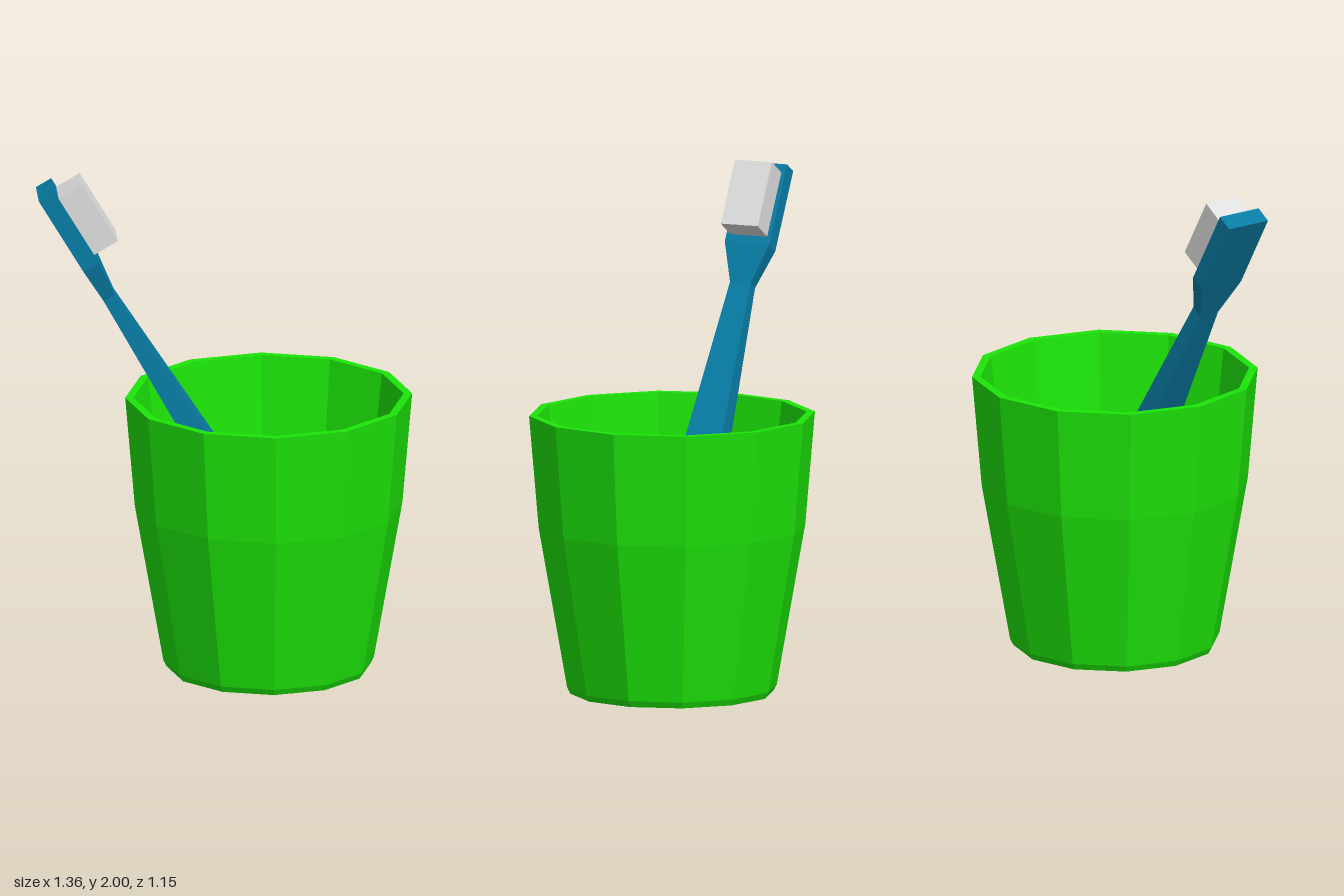
import * as THREE from 'three';

export function createModel() {
  const model = new THREE.Group();
  const material = (name, color) => {
    const m = new THREE.MeshStandardMaterial({ color, flatShading: true });
    m.name = name;
    return m;
  };
  const green = material('cup green', 0x1ce408);
  const blue = material('handle blue', 0x087ca4);
  const grey = material('bristle grey', 0xdedede);

  const add = (parent, name, geometry, mat) => {
    const mesh = new THREE.Mesh(geometry, mat);
    mesh.name = name;
    parent.add(mesh);
    return mesh;
  };

  // Twelve-sided cup: underside recess, outer wall, rim, inner wall, thin floor
  const profile = [
    [0, 0.012], [0.36, 0.02], [0.37, 0], [0.4, 0], [0.413, 0.025],
    [0.525, 0.66], [0.563, 1.105], [0.53, 1.105],
    [0.472, 0.64], [0.42, 0.28], [0.375, 0.04], [0, 0.025],
  ].map(([r, y]) => new THREE.Vector2(r, y));
  const cup = add(model, 'cup', new THREE.LatheGeometry(profile, 12, Math.PI / 30), green);
  cup.position.set(0.12, 0, -0.02);

  // Toothbrush, built upright with the head end at y = 0 and bristles on +z
  const brush = new THREE.Group();
  brush.name = 'toothbrush';
  model.add(brush);

  // Handle sections from tip to head: [y, width, back z, front z]
  const sections = [
    [-2.06, 0.10, -0.055, 0.05], [-1.76, 0.21, -0.07, 0.06], [-0.5, 0.088, -0.035, 0.016],
    [-0.34, 0.19, -0.035, 0.035], [0, 0.19, -0.035, 0.035],
  ];
  const handle = new THREE.BoxGeometry(1, 1, 1, 1, sections.length - 1, 1);
  const p = handle.attributes.position;
  for (let i = 0; i < p.count; i++) {
    const [y, width, back, front] = sections[Math.round((p.getY(i) + 0.5) * (sections.length - 1))];
    p.setXYZ(i, p.getX(i) * width, y, p.getZ(i) < 0 ? back : front);
  }
  handle.computeVertexNormals();
  add(brush, 'handle', handle, blue);

  const bristles = add(brush, 'bristles', new THREE.BoxGeometry(0.158, 0.272, 0.117), grey);
  bristles.position.set(0, -0.172, 0.084);

  // Lean the brush against the rim
  const along = new THREE.Vector3(-0.412, 0.857, 0.306).normalize();
  const across = new THREE.Vector3(-0.595, 0, -0.803);
  across.addScaledVector(along, -across.dot(along)).normalize();
  const facing = new THREE.Vector3().crossVectors(across, along);
  brush.quaternion.setFromRotationMatrix(new THREE.Matrix4().makeBasis(across, along, facing));
  brush.position.set(-0.6, 1.958, 0.48);

  return model;
}
